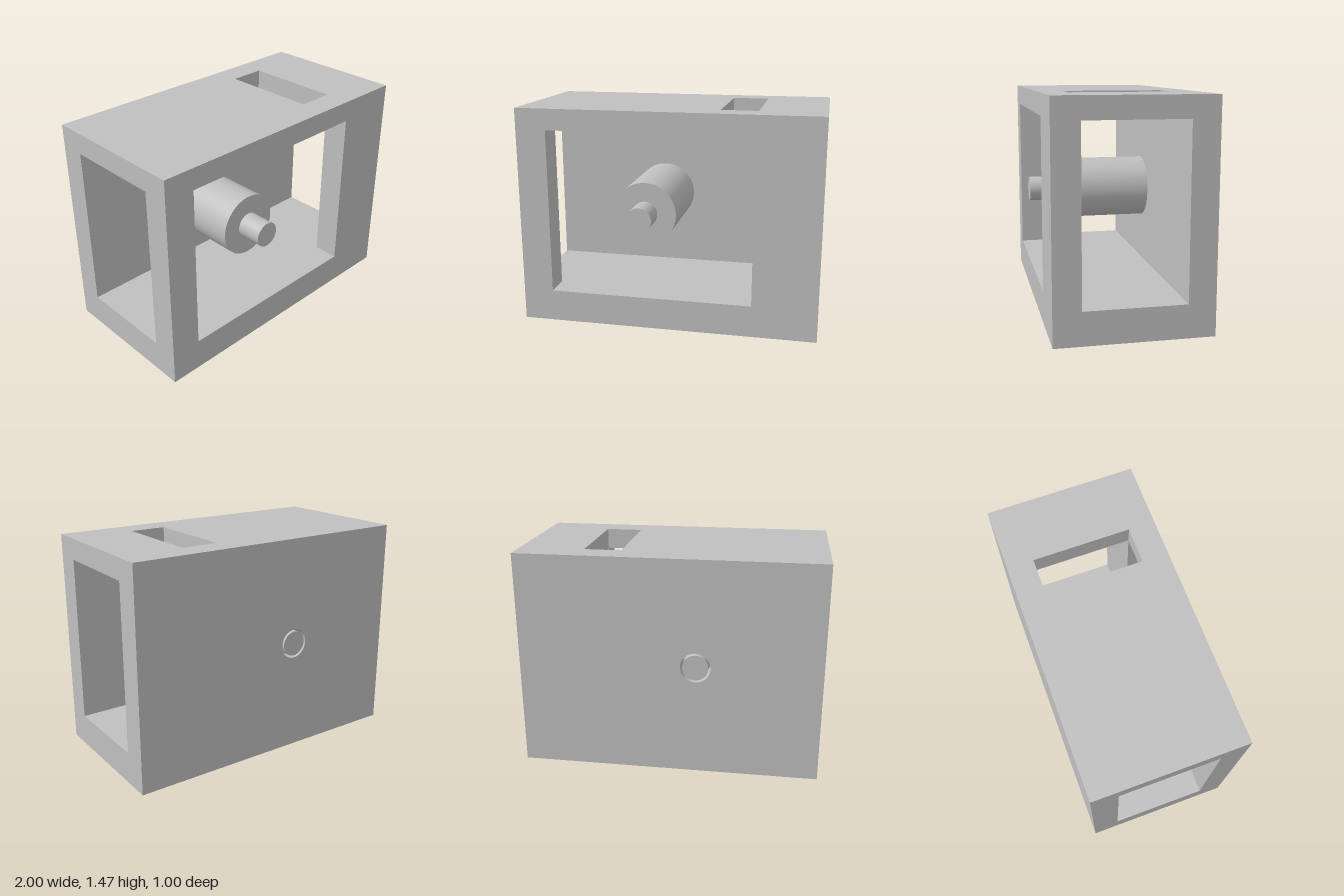
import * as THREE from 'three';
import { mergeGeometries } from 'three/addons/utils/BufferGeometryUtils.js';

// Housing size and the tunnel that runs through it along x
const W = 1, H = 1.465, D = 0.5;
const FLOOR = 0.215, CEILING = 1.325, INNER = 0.325;
const AXIS_X = -0.18, AXIS_Y = 0.75;

// Corner points of a rectangle, counter-clockwise
const rect = (x0, y0, x1, y1) => [[x0, y0], [x1, y0], [x1, y1], [x0, y1]]
  .map(([x, y]) => new THREE.Vector2(x, y));

const circle = (x, y, r, n = 64) => Array.from({ length: n }, (_, i) => {
  const a = i / n * Math.PI * 2;
  return new THREE.Vector2(x + r * Math.cos(a), y + r * Math.sin(a));
});

// Flat sheet facing +z, or -z when flipped, with an optional hole
function sheet(outline, hole, z = 0, flip = false) {
  const shape = new THREE.Shape(outline);
  if (hole) shape.holes.push(new THREE.Path(hole));
  const g = new THREE.ShapeGeometry(shape);
  if (flip) g.setIndex(Array.from(g.index.array).reverse());
  g.translate(0, 0, z);
  const flat = g.toNonIndexed();
  flat.deleteAttribute('uv');
  flat.computeVertexNormals();
  return flat;
}

// Inside edges of a hole cut through a wall of thickness t
function reveal(points, t) {
  const v = [];
  points.forEach((a, i) => {
    const b = points[(i + 1) % points.length];
    v.push(a.x, a.y, 0, b.x, b.y, 0, b.x, b.y, -t);
    v.push(a.x, a.y, 0, b.x, b.y, -t, a.x, a.y, -t);
  });
  const g = new THREE.BufferGeometry();
  g.setAttribute('position', new THREE.Float32BufferAttribute(v, 3));
  g.computeVertexNormals();
  return g;
}

export function createModel() {
  const model = new THREE.Group();
  model.name = 'motorHousing';
  const grey = new THREE.MeshStandardMaterial({ color: 0xbfbfbf });
  grey.name = 'plain grey';

  const add = (name, geometry, parent) => {
    const mesh = new THREE.Mesh(geometry, grey);
    mesh.name = name;
    parent.add(mesh);
    return mesh;
  };

  const housing = new THREE.Group();
  housing.name = 'housing';
  model.add(housing);

  // Front wall with its large window
  const window = rect(-0.795, FLOOR, 0.57, CEILING);
  add('frontWall', mergeGeometries([
    sheet(rect(-W, 0, W, H), window),
    sheet(rect(-W, FLOOR, -0.795, CEILING), null, INNER - D, true),
    sheet(rect(0.57, FLOOR, W, CEILING), null, INNER - D, true),
    reveal(window, D - INNER),
  ]), housing).position.z = D;

  // Back wall with the round shaft hole
  const bore = circle(-AXIS_X, AXIS_Y, 0.1);
  const back = add('backWall', mergeGeometries([
    sheet(rect(-W, 0, W, H), bore),
    sheet(rect(-W, FLOOR, W, CEILING), bore, INNER - D, true),
    reveal(bore, D - INNER),
  ]), housing);
  back.rotation.y = Math.PI;
  back.position.z = -D;

  // Roof with the slot
  const slot = rect(0.325, -INNER, 0.57, INNER);
  const roof = add('roof', mergeGeometries([
    sheet(rect(-W, -D, W, D), slot),
    sheet(rect(-W, -INNER, 0.325, INNER), null, CEILING - H, true),
    sheet(rect(0.57, -INNER, W, INNER), null, CEILING - H, true),
    reveal(slot, H - CEILING),
  ]), housing);
  roof.rotation.x = -Math.PI / 2;
  roof.position.y = H;

  // Floor
  const floor = add('floor', mergeGeometries([
    sheet(rect(-W, -D, W, D)),
    sheet(rect(-W, -INNER, W, INNER), null, -FLOOR, true),
  ]), housing);
  floor.rotation.x = Math.PI / 2;

  // Open end frames
  for (const side of [-1, 1]) {
    const end = add(side > 0 ? 'leftEndFrame' : 'rightEndFrame',
      sheet(rect(-D, 0, D, H), rect(-INNER, FLOOR, INNER, CEILING)), housing);
    end.rotation.y = side * Math.PI / 2;
    end.position.x = side * W;
  }

  // Motor body and the shaft ends, all along z
  const motor = new THREE.Group();
  motor.name = 'motor';
  motor.position.set(AXIS_X, AXIS_Y, 0);
  model.add(motor);
  const rod = (name, r, z0, z1) => {
    const g = new THREE.CylinderGeometry(r, r, z1 - z0, 64).rotateX(Math.PI / 2);
    add(name, g, motor).position.z = (z0 + z1) / 2;
  };
  rod('motorBody', 0.213, -INNER, INNER);
  rod('frontShaft', 0.085, INNER, D);
  rod('rearShaft', 0.085, -D, -INNER);

  return model;
}
